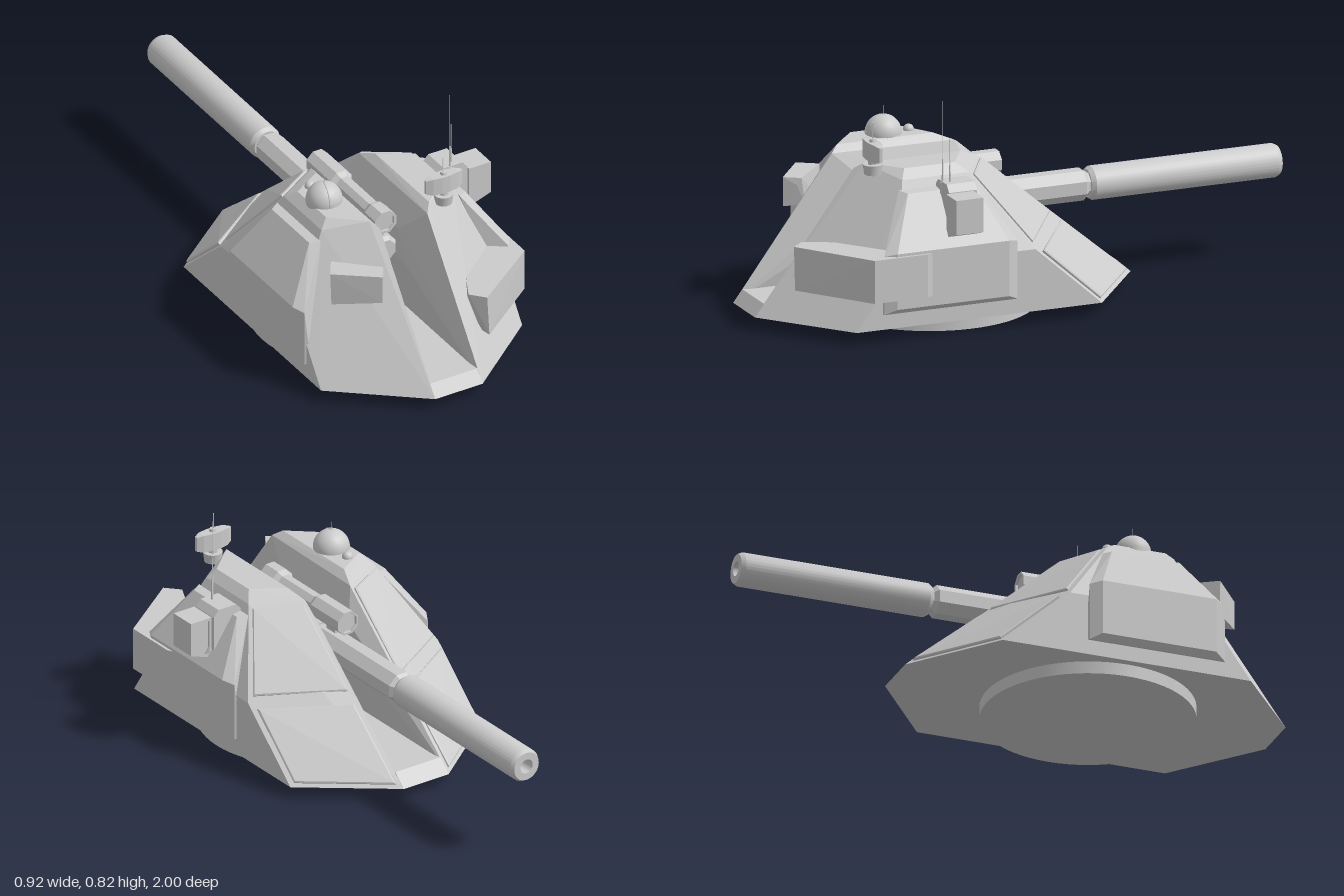
import * as THREE from 'three';
import { toCreasedNormals } from 'three/addons/utils/BufferGeometryUtils.js';
import { ConvexGeometry } from 'three/addons/geometries/ConvexGeometry.js';

const CX = -0.025; // centre line of hull and gun
const mat = new THREE.MeshStandardMaterial({ color: 0xcccccc });
const V = (p) => new THREE.Vector3(...p);

export function createModel() {
  const root = new THREE.Group();

  function add(name, geo, x = 0, y = 0, z = 0) {
    const m = new THREE.Mesh(geo, mat);
    m.name = name;
    m.position.set(x, y, z);
    root.add(m);
    return m;
  }
  // Faceted solid around corner points
  const solid = (name, pts, x = 0) => add(name, new ConvexGeometry(pts.map(V)), x);
  const box = (name, w, h, d, x, y, z) => add(name, new THREE.BoxGeometry(w, h, d), x, y, z);
  const cyl = (name, r1, r2, h, x, y, z, n = 24) =>
    add(name, toCreasedNormals(new THREE.CylinderGeometry(r1, r2, h, n), 0.6), x, y, z);

  // Turned part lying along z; profile entries are [radius, z], front end first value last
  function turned(name, profile, y, sides, phase = 0) {
    const pts = profile.map(([r, z]) => new THREE.Vector2(r, -z));
    const g = new THREE.LatheGeometry(pts, sides, phase).rotateX(-Math.PI / 2);
    return add(name, toCreasedNormals(g, sides > 12 ? 0.5 : 0.1), CX, y, 0);
  }

  // Raised plate on a quad, inset from its corners
  function plate(name, corners, inset, height) {
    const c = corners.map(V);
    const mid = c.reduce((a, p) => a.add(p), new THREE.Vector3()).multiplyScalar(0.25);
    const n = c[2].clone().sub(c[0]).cross(c[3].clone().sub(c[1])).normalize();
    if (n.y < 0) n.negate();
    const ring = (k, h) => c.map((p) => p.clone().lerp(mid, k).addScaledVector(n, h).toArray());
    solid(name, [...ring(inset, -0.012), ...ring(inset, height * 0.6), ...ring(inset + 0.03, height)], CX);
  }

  // Turning ring
  cyl('turretRing', 0.375, 0.375, 0.06, CX, 0.03, 0.305, 64);

  // Floor of the gun channel
  const floorPts = [];
  for (const s of [-0.096, 0.096]) {
    floorPts.push([s, 0.045, -0.41], [s, 0.045, 1], [s, 0.09, -0.36], [s, 0.09, 0.966]);
  }
  solid('channelFloor', floorPts, CX);

  // Two armoured halves, mirrored about the gun
  for (const s of [1, -1]) {
    const side = s > 0 ? 'left' : 'right';
    const flip = (pts) => pts.map(([x, y, z]) => [s * x, y, z]);
    solid(side + 'Hull', flip([
      // lower edge
      [0.095, 0.045, -0.41], [0.405, 0.045, -0.17], [0.405, 0.045, 0.75], [0.095, 0.045, 1],
      // shoulder
      [0.405, 0.268, 0.08], [0.405, 0.268, 0.59], [0.095, 0.268, 0.833], [0.095, 0.28, -0.13],
      // upper rim and roof
      [0.265, 0.53, 0.27], [0.095, 0.535, 0.17], [0.265, 0.53, 0.52], [0.095, 0.54, 0.63],
      [0.235, 0.5625, 0.31], [0.12, 0.5625, 0.24], [0.235, 0.5625, 0.5], [0.12, 0.5625, 0.6],
      // bulge towards the gun
      [0.055, 0.42, 0.12], [0.055, 0.3, 0.1], [0.055, 0.42, 0.5], [0.055, 0.3, 0.55],
    ]), CX);

    // Side armour block
    solid(side + 'SideArmour', flip([
      [0.39, 0.1, 0.14], [0.39, 0.1, 0.66], [0.412, 0.1, 0.15], [0.412, 0.1, 0.65],
      [0.412, 0.31, 0.15], [0.412, 0.31, 0.65], [0.28, 0.5, 0.25], [0.28, 0.5, 0.54],
      [0.435, 0.12, 0.19], [0.435, 0.12, 0.61], [0.435, 0.32, 0.19], [0.435, 0.32, 0.61],
      [0.315, 0.495, 0.27], [0.315, 0.495, 0.52],
    ]), CX);

    // Sloped nose plates
    plate(side + 'LowerNosePlate', flip([
      [0.095, 0.045, -0.41], [0.405, 0.045, -0.17], [0.405, 0.262, 0.07], [0.095, 0.275, -0.135],
    ]), 0.1, 0.01);
    plate(side + 'UpperNosePlate', flip([
      [0.095, 0.285, -0.12], [0.4, 0.272, 0.08], [0.265, 0.53, 0.27], [0.095, 0.535, 0.17],
    ]), 0.1, 0.01);
  }

  // Main gun: bored sleeve, faceted barrel and breech
  turned('barrelSleeve', [[0, -0.285], [0.05, -0.285], [0.06, -0.3], [0.06, -0.985], [0.052, -1],
    [0.026, -1], [0.026, -0.9], [0, -0.9]], 0.35, 32);
  turned('barrel', [[0, 0.3], [0.058, 0.3], [0.058, -0.265], [0.044, -0.28], [0.044, -0.3]],
    0.35, 8, Math.PI / 8);
  turned('breech', [[0, 0.51], [0.042, 0.51], [0.053, 0.495], [0.053, 0.43], [0.046, 0.42],
    [0.046, 0.28], [0.062, 0.27], [0.062, 0.2], [0, 0.2]], 0.352, 8, Math.PI / 8);
  for (const z of [0.29, 0.34, 0.39]) box('breechRib', 0.115, 0.03, 0.025, CX, 0.352, z);

  // Sight tube above the gun
  turned('sightTube', [[0, 0.5], [0.036, 0.5], [0.036, 0.51], [0.046, 0.51], [0.046, 0.44], [0.034, 0.42],
    [0.034, 0.23], [0.046, 0.21], [0.046, 0.05], [0.038, 0.05], [0.038, 0.06], [0, 0.06]],
  0.468, 8, Math.PI / 8);
  for (const z of [0.14, 0.46]) box('sightStrut', 0.016, 0.06, 0.05, CX, 0.42, z);

  // Storage bin wrapped round the rear left corner
  const binPlan = (k) => [[0.11 + k, 0.84], [0.155 + k * 0.2, 0.89], [0.42, 0.7], [0.42, 0.5],
    [0.41, 0.48], [0.36, 0.48], [0.2, 0.66]];
  solid('storageBin', [
    ...binPlan(0.045).map(([x, z]) => [x, 0.155, z]),
    ...binPlan(0).map(([x, z]) => [x, 0.31, z]),
  ]);

  // Small box on the rear right slope
  solid('rearBox', [
    [-0.345, 0.45, 0.67], [-0.2, 0.45, 0.78], [-0.165, 0.45, 0.725], [-0.3, 0.45, 0.6],
    [-0.17, 0.425, 0.74], [-0.34, 0.325, 0.67], [-0.2, 0.345, 0.78], [-0.19, 0.345, 0.7],
    [-0.28, 0.33, 0.6],
  ]);

  // Sensor dome with spike, raised band and a small periscope
  add('dome', new THREE.SphereGeometry(0.064, 32, 12, 0, Math.PI * 2, 0, Math.PI / 2), -0.207, 0.566, 0.4);
  cyl('domeBase', 0.064, 0.064, 0.02, -0.207, 0.556, 0.4, 32);
  const band = add('domeBand', new THREE.TorusGeometry(0.0635, 0.003, 6, 24, Math.PI / 2), -0.207, 0.566, 0.4);
  band.rotation.y = -Math.PI / 2 - 0.2;
  cyl('domeSpike', 0.001, 0.0015, 0.04, -0.207, 0.642, 0.4, 6);
  cyl('periscopeBase', 0.019, 0.019, 0.04, -0.207, 0.545, 0.305, 16);
  add('periscopeCap', new THREE.SphereGeometry(0.019, 16, 8, 0, Math.PI * 2, 0, Math.PI / 2), -0.207, 0.565, 0.305);

  // Radar on the left roof
  cyl('radarBase', 0.035, 0.03, 0.036, 0.157, 0.557, 0.595, 16);
  cyl('radarPost', 0.017, 0.017, 0.04, 0.157, 0.58, 0.595, 16);
  const radarPts = [];
  for (const [x, y0, y1, d] of [[0.073, 0.597, 0.65, 0.006], [0.05, 0.59, 0.655, 0.016], [0.015, 0.59, 0.655, 0.022]]) {
    for (const s of [-1, 1]) for (const t of [-1, 1]) radarPts.push([s * x, y0, 0.595 + t * d], [s * x, y1, 0.595 + t * d]);
  }
  solid('radarPanel', radarPts, 0.156);
  cyl('radarCap', 0.011, 0.013, 0.012, 0.157, 0.659, 0.595, 12);
  cyl('radarAerial', 0.0015, 0.002, 0.06, 0.154, 0.692, 0.595, 6);

  // Sight pod: bracket, slanted housing and framed front opening
  const bracketPts = [];
  for (const [x, y] of [[0.255, 0.51], [0.275, 0.53], [0.35, 0.53], [0.37, 0.505], [0.37, 0.38], [0.26, 0.38]]) {
    bracketPts.push([x, y, 0.295], [x, y, 0.4]);
  }
  solid('podBracket', bracketPts);
  const outline = [[0.37, 0.502], [0.458, 0.502], [0.458, 0.378], [0.39, 0.354], [0.37, 0.354]];
  const podShape = new THREE.Shape(outline.map(([x, y]) => new THREE.Vector2(x, y)));
  const extrude = (shape, depth) => new THREE.ExtrudeGeometry(shape, { depth, bevelEnabled: false });
  add('podHousing', extrude(podShape, 0.08), 0, 0, 0.33);
  const frame = podShape.clone();
  frame.holes.push(new THREE.Path(outline.map(([x, y]) =>
    new THREE.Vector2(0.414 + (x - 0.414) * 0.78, 0.435 + (y - 0.435) * 0.84))));
  add('podFrame', extrude(frame, 0.022), 0, 0, 0.308);

  // Whip aerials on the bracket
  for (const [x, z, top, r] of [[0.302, 0.395, 0.818, 0.009], [0.319, 0.375, 0.684, 0.006]]) {
    cyl('aerialFoot', r, r, 0.02, x, 0.505, z, 10).scale.y = 2;
    cyl('aerialBase', 0.002, 0.004, 0.09, x, 0.565, z, 8);
    cyl('aerialRod', 0.001, 0.0015, top - 0.54, x, (top + 0.54) / 2, z, 6);
  }
  return root;
}
